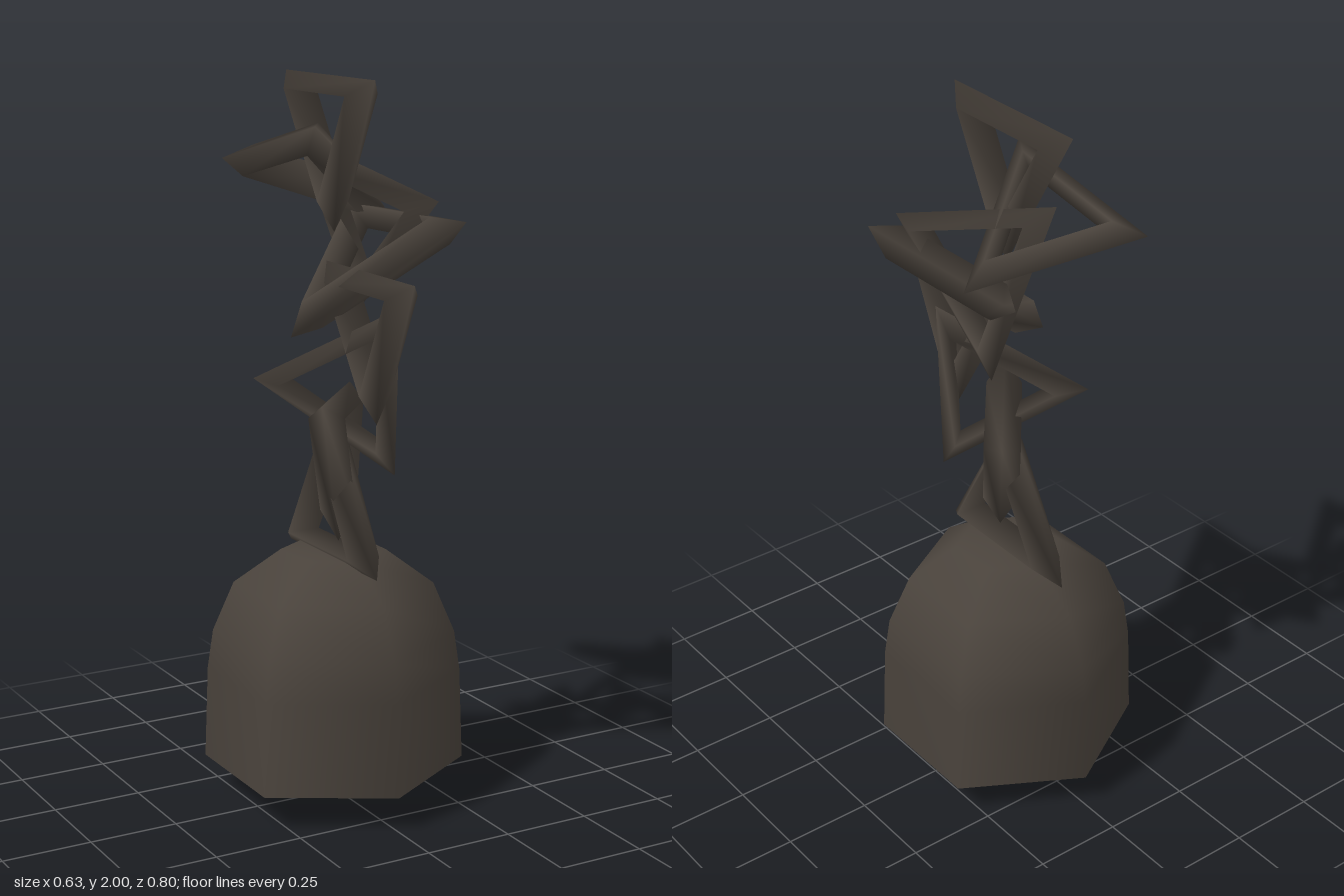
import * as THREE from 'three';

const iron = new THREE.MeshStandardMaterial({ color: 0x4a433c, side: THREE.DoubleSide });
iron.name = 'dark iron';

const vec = (a) => new THREE.Vector3(...a);

// Three-sided chain link fitted to its three outer corners
function chainLink(name, corners, tube = 0.057) {
  const [a, b, c] = corners.map(vec);
  const centre = a.clone().add(b).add(c).divideScalar(3);
  const radius = [a, b, c].reduce((sum, p) => sum + p.distanceTo(centre), 0) / 3;
  const normal = b.clone().sub(a).cross(c.clone().sub(a)).normalize();
  const xAxis = a.clone().sub(centre).normalize();
  const yAxis = normal.clone().cross(xAxis);
  const mesh = new THREE.Mesh(new THREE.TorusGeometry(radius - tube, tube, 3, 3), iron);
  mesh.quaternion.setFromRotationMatrix(new THREE.Matrix4().makeBasis(xAxis, yAxis, normal));
  mesh.position.copy(centre);
  mesh.name = name;
  return mesh;
}

export function createModel() {
  const group = new THREE.Group();
  group.name = 'bell on chain';

  // Hollow six-sided bell, open at the bottom
  const profile = [
    [0.362, 0.1], [0.352, 0.36], [0.336, 0.47], [0.277, 0.61], [0.146, 0.705], [0, 0.706],
  ].map(([r, y]) => new THREE.Vector2(r, y));
  const bell = new THREE.Mesh(new THREE.LatheGeometry(profile, 6), iron);
  bell.position.z = -0.016;
  bell.name = 'bell';
  group.add(bell);

  // Tilted clapper bar hanging inside
  const along = vec([0.2, 0.9, -0.35]).normalize();
  const side = along.clone().cross(vec([-0.68, 0.38, 0.64])).normalize();
  const across = side.clone().cross(along);
  const clapper = new THREE.Mesh(new THREE.BoxGeometry(0.06, 0.4, 0.13), iron);
  clapper.quaternion.setFromRotationMatrix(new THREE.Matrix4().makeBasis(side, along, across));
  clapper.position.set(0.034, 0.214, 0.072);
  clapper.name = 'clapper';
  group.add(clapper);

  // Chain links from the bell upwards, each given by its corners
  const links = [
    [[-0.007, 1.1, -0.01], [-0.007, 0.68, 0.235], [-0.007, 0.68, -0.25]],
    [[-0.01, 0.745, 0.03], [0.145, 1.14, -0.18], [-0.15, 1.155, 0.19]],
    [[0.095, 1.4, 0.175], [-0.185, 1.185, -0.13], [0.105, 0.935, 0.135]],
    [[0, 1.5, 0.405], [0.03, 1.09, 0.165], [0.01, 1.5, -0.07]],
    [[0.232, 1.635, 0.293], [0.205, 1.62, -0.265], [-0.15, 1.32, 0.01]],
    [[0.16, 1.345, -0.155], [0.185, 1.68, 0.22], [0.02, 1.82, -0.24]],
    [[-0.145, 1.755, -0.405], [0.24, 1.62, -0.14], [-0.09, 1.87, 0.06]],
    [[0.005, 1.585, -0.02], [-0.01, 2, 0.22], [-0.01, 2, -0.26]],
  ];
  links.forEach((corners, i) => group.add(chainLink(`chainLink${i + 1}`, corners)));

  return group;
}
